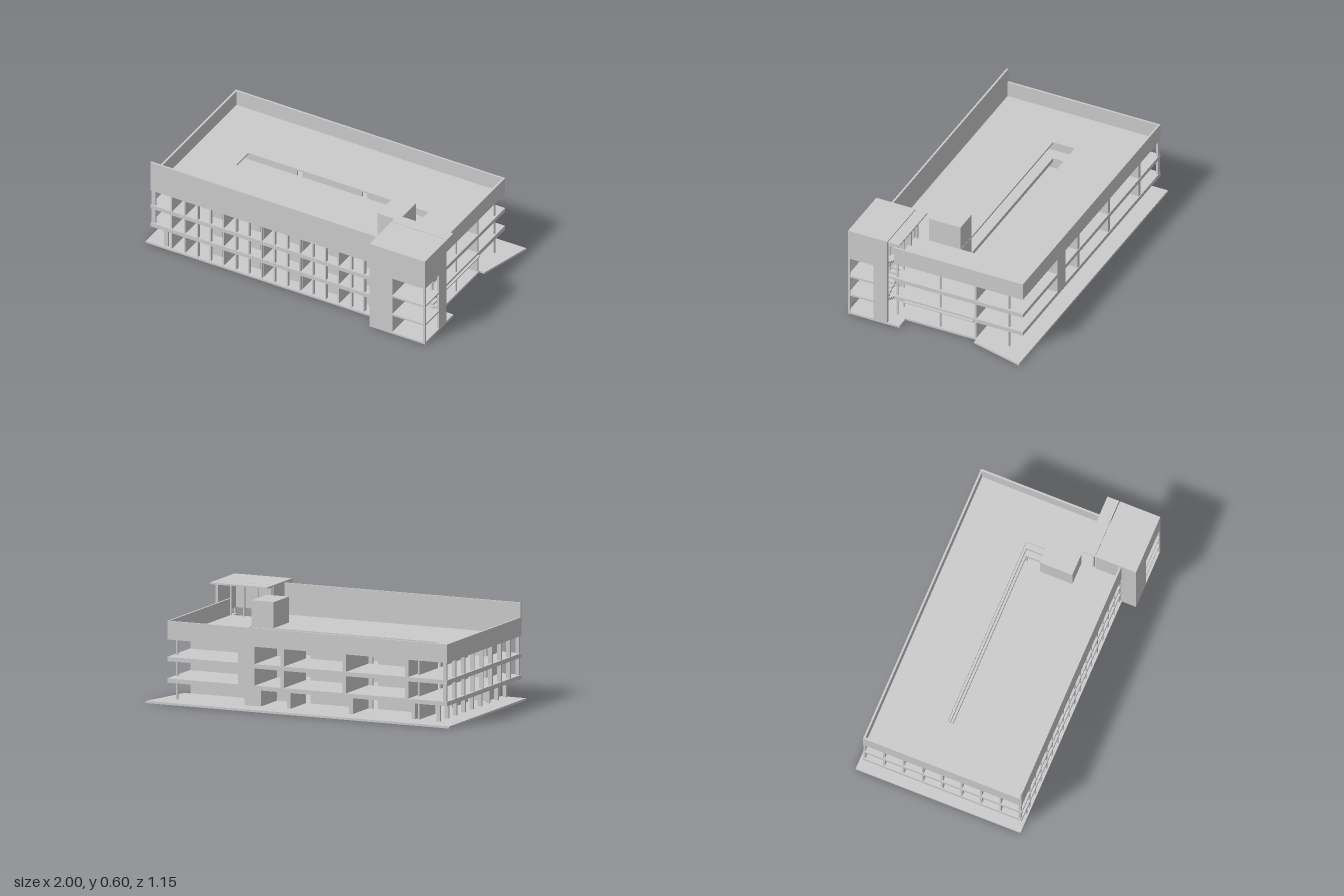
import * as THREE from 'three';

export function createModel() {
  const model = new THREE.Group();
  const mat = new THREE.MeshStandardMaterial({ color: 0xcccccc, flatShading: true });

  const add = (name, geo) => {
    const m = new THREE.Mesh(geo, mat);
    m.name = name;
    model.add(m);
    return m;
  };
  // Box given by its limits on each axis
  const box = (name, x0, x1, y0, y1, z0, z1) =>
    add(name, new THREE.BoxGeometry(x1 - x0, y1 - y0, z1 - z0))
      .position.set((x0 + x1) / 2, (y0 + y1) / 2, (z0 + z1) / 2);
  // Horizontal plate from a plan outline of [x, z] corners
  const toVec = ([x, z]) => new THREE.Vector2(x, -z);
  const plate = (name, pts, hole, y0, y1) => {
    const shape = new THREE.Shape(pts.map(toVec));
    if (hole) shape.holes.push(new THREE.Path(hole.map(toVec)));
    const geo = new THREE.ExtrudeGeometry(shape, { depth: y1 - y0, bevelEnabled: false });
    add(name, geo.rotateX(-Math.PI / 2).translate(0, y0, 0));
  };
  // Wall along x or z with door gaps
  const wall = (name, axis, from, to, at, y0, y1, doors = []) => {
    const t = 0.012, head = y0 + 0.064;
    const piece = (a, b, lo, hi) => axis === 'x'
      ? box(name, a, b, lo, hi, at, at + t)
      : box(name, at, at + t, lo, hi, a, b);
    let a = from;
    for (const [d0, d1] of doors) {
      piece(a, d0, y0, y1);
      piece(d0, d1, head, y1);
      a = d1;
    }
    piece(a, to, y0, y1);
  };

  // Ground plate
  plate('groundSlab', [[-1, 0.48], [0.585, 0.48], [0.585, 0.57], [0.965, 0.57], [0.965, 0.23],
    [0.875, 0.23], [0.875, -0.24], [0.91, -0.24], [1, -0.58], [-1, -0.58]], null, 0, 0.013);

  // Upper floors and roof, with the long light well
  const outline = [[-0.97, 0.475], [0.585, 0.475], [0.585, 0.31], [0.875, 0.31],
    [0.875, -0.545], [-0.97, -0.545]];
  const well = [[-0.65, 0.01], [0.585, 0.01], [0.585, -0.135], [-0.65, -0.135]];
  plate('firstFloor', outline, well, 0.127, 0.153);
  plate('secondFloor', outline, well, 0.257, 0.283);
  plate('roof', outline, well, 0.388, 0.4);

  // Parapets, taller along the front
  box('frontParapet', -0.97, 0.585, 0.388, 0.59, 0.463, 0.475);
  box('backParapet', -0.97, 0.875, 0.388, 0.5, -0.545, -0.533);
  box('leftParapet', -0.97, -0.958, 0.388, 0.5, -0.533, 0.463);
  box('rightParapet', 0.863, 0.875, 0.388, 0.5, -0.533, 0.31);

  // Rooms, partitions and facade posts, storey by storey
  const storeys = [[0.013, 0.127], [0.153, 0.257], [0.283, 0.388]];
  const doors = [[-0.365, -0.33], [0.08, 0.115]];
  storeys.forEach(([y0, y1], level) => {
    const left = level === 0 ? -0.88 : -0.965;
    const back = level === 0 ? -0.455 : -0.545;

    wall('frontRoomWall', 'x', -0.83, 0.585, 0.288, y0, y1, doors);
    wall('backRoomWall', 'x', -0.74, 0.87, -0.235, y0, y1, doors);
    if (level === 0) wall('leftRoomWall', 'z', 0.01, 0.22, -0.74, y0, y1);
    else wall('leftRoomWall', 'z', -0.223, 0.22, -0.74, y0, y1, [[-0.19, -0.155]]);
    wall('leftBackWall', 'z', -0.445, -0.235, -0.74, y0, y1);

    // Front bays: deep partition every third post
    for (let i = 0; i <= 15; i++) {
      const x = 0.577 - i * 0.0877;
      box('frontPost', x - 0.005, x + 0.005, y0, y1, 0.45, 0.47);
      if (i % 3 === 0) box('frontPartition', x - 0.006, x + 0.006, y0, y1, 0.3, 0.452);
      if (i % 3 === 1) box('frontPanel', x - 0.04, x + 0.04, y0, y1 - 0.03, 0.39, 0.398);
    }
    box('frontCornerPost', left, left + 0.012, y0, y1, 0.455, 0.47);
    box('frontLeftPost', -0.836, -0.824, y0, y1, 0.3, 0.47);

    // Left side posts
    for (let i = 0; i < 9; i++) {
      const z = 0.46 - i * (0.452 - back) / 8;
      box('leftPost', left, left + 0.025, y0, y1, z - 0.006, z + 0.006);
    }

    // Back bays
    for (const x of [-0.7, -0.29, 0.12])
      box('backPartition', x - 0.012, x + 0.012, y0, y1, back + 0.005, -0.235);
    box('backPier', 0.3, 0.41, y0, y1, back, -0.235);

    // Slim columns on the open right side
    for (const z of [-0.445, 0.01])
      add('rightColumn', new THREE.CylinderGeometry(0.007, 0.007, y1 - y0, 12))
        .position.set(0.857, (y0 + y1) / 2, z);

    // Lift doors
    for (const z of [0.05, 0.11])
      box('liftDoor', 0.585, 0.588, y0, y0 + 0.064, z - 0.018, z + 0.018);
  });
  for (const z of [-0.05, -0.14])
    box('hallColumn', 0.6, 0.61, 0.013, 0.127, z - 0.005, z + 0.005);

  // Lift core rising above the roof
  box('liftCore', 0.44, 0.585, 0.013, 0.557, 0.012, 0.22);
  // Entrance canopy
  box('entranceCanopy', 0.8, 0.89, 0.133, 0.14, -0.22, 0.24);

  // Stair tower: solid flank walls, open glazed corner, heavy head
  box('towerFrontWall', 0.585, 0.73, 0, 0.4, 0.555, 0.57);
  box('towerLeftWall', 0.585, 0.6, 0, 0.59, 0.31, 0.555);
  box('towerRightWall', 0.95, 0.965, 0, 0.4, 0.31, 0.4);
  box('towerFrontHead', 0.585, 0.965, 0.4, 0.6, 0.555, 0.57);
  box('towerRightHead', 0.95, 0.965, 0.4, 0.6, 0.31, 0.555);
  box('towerRoof', 0.585, 0.965, 0.588, 0.6, 0.31, 0.57);
  box('towerCornerPost', 0.953, 0.965, 0.013, 0.4, 0.558, 0.57);
  box('towerInnerWall', 0.73, 0.742, 0, 0.4, 0.4, 0.57);
  for (const y of [0.013, 0.145, 0.278])
    box('towerLedge', 0.73, 0.965, y - 0.013, y, 0.4, 0.57);

  // Rear canopy and its posts
  box('towerCanopy', 0.585, 0.965, 0.59, 0.6, 0.23, 0.305);
  for (const x of [0.592, 0.68, 0.77, 0.858])
    box('towerRearPost', x - 0.005, x + 0.005, 0.013, 0.59, 0.29, 0.3);

  // Stair flights inside the tower
  for (let level = 0; level < 3; level++)
    for (let i = 0; i < 10; i++) {
      const x = level % 2 ? 0.92 - i * 0.03 : 0.62 + i * 0.03;
      const y = 0.013 + level * 0.132 + i * 0.0132;
      box('stairTread', x, x + 0.03, y, y + 0.0135, 0.33, 0.39);
    }

  return model;
}
